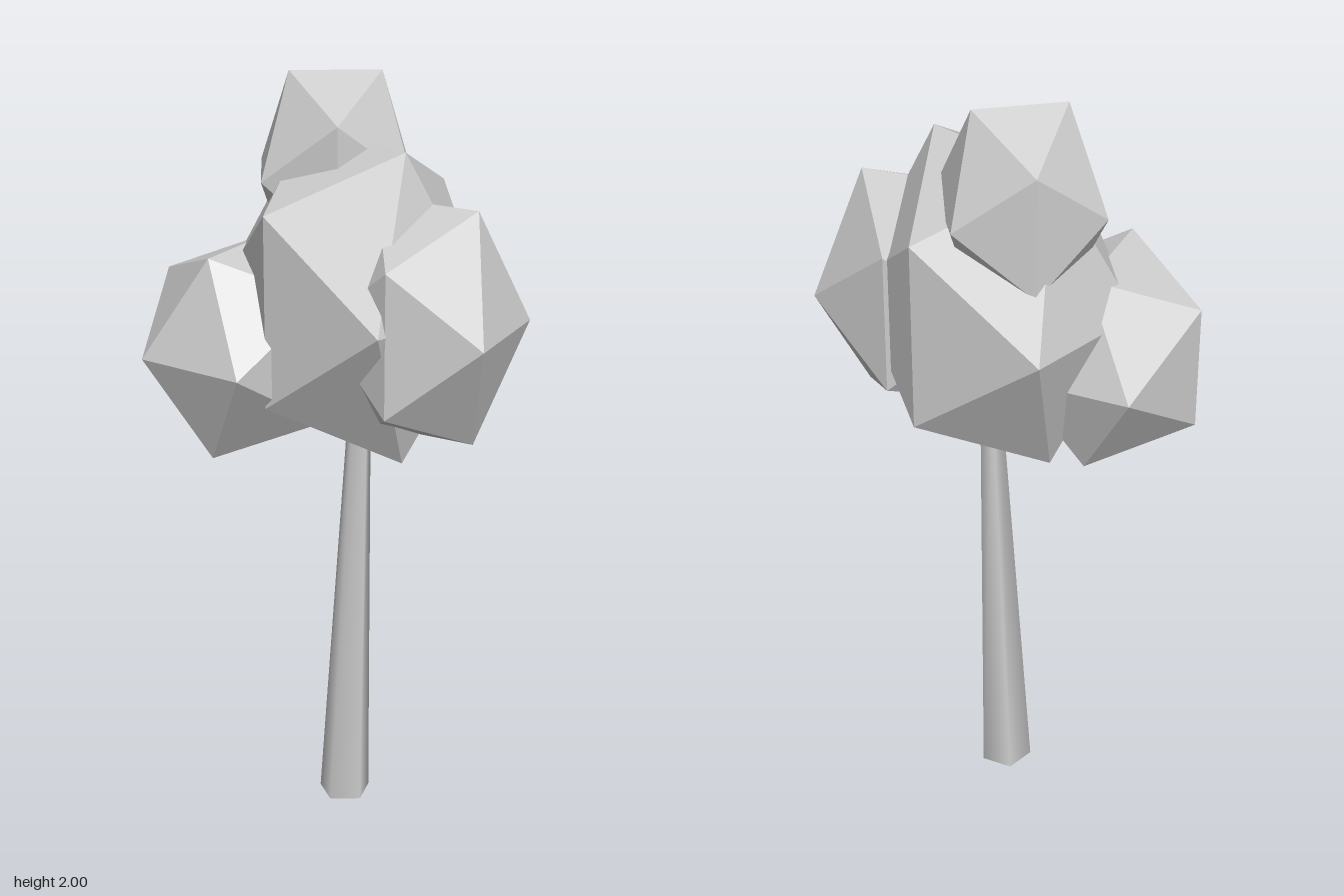
import * as THREE from 'three';

export function createModel() {
  const tree = new THREE.Group();
  tree.name = 'tree';

  const lightGrey = new THREE.MeshStandardMaterial({ color: 0xcccccc });
  lightGrey.name = 'lightGrey';

  // Leaning five-sided trunk, its top hidden in the foliage
  const height = 1.2;
  const trunkGeometry = new THREE.CylinderGeometry(0.028, 0.07, height, 5);
  trunkGeometry.translate(0, height / 2, 0);
  const p = trunkGeometry.attributes.position;
  for (let i = 0; i < p.count; i++) {
    const t = p.getY(i) / height;
    p.setX(i, p.getX(i) - 0.015 + 0.028 * t);
    p.setZ(i, p.getZ(i) - 0.052 - 0.029 * t);
  }
  const trunk = new THREE.Mesh(trunkGeometry, lightGrey);
  trunk.name = 'trunk';
  tree.add(trunk);

  // Foliage clumps: stretched icosahedra turned about the vertical;
  // this radius puts the corners at 1 and the golden ratio before scaling
  const radius = Math.hypot(1, (1 + Math.sqrt(5)) / 2);
  const clumpGeometry = new THREE.IcosahedronGeometry(radius, 0);
  const clumps = [
    // name, centre, scale, turn
    ['mainFoliage', [0.018, 1.457, -0.05], [0.193, 0.247, 0.173], -0.319],
    ['frontFoliage', [-0.236, 1.306, 0.079], [0.145, 0.164, 0.147], 1.588],
    ['sideFoliage', [0.24, 1.43, -0.028], [0.1355, 0.185, 0.1355], 0.1145],
    ['topFoliage', [-0.0725, 1.75, -0.0925], [0.1145, 0.1545, 0.117], 0.633],
  ];
  for (const [name, centre, scale, turn] of clumps) {
    const clump = new THREE.Mesh(clumpGeometry, lightGrey);
    clump.name = name;
    clump.position.set(...centre);
    clump.scale.set(...scale);
    clump.rotation.y = turn;
    tree.add(clump);
  }

  return tree;
}
